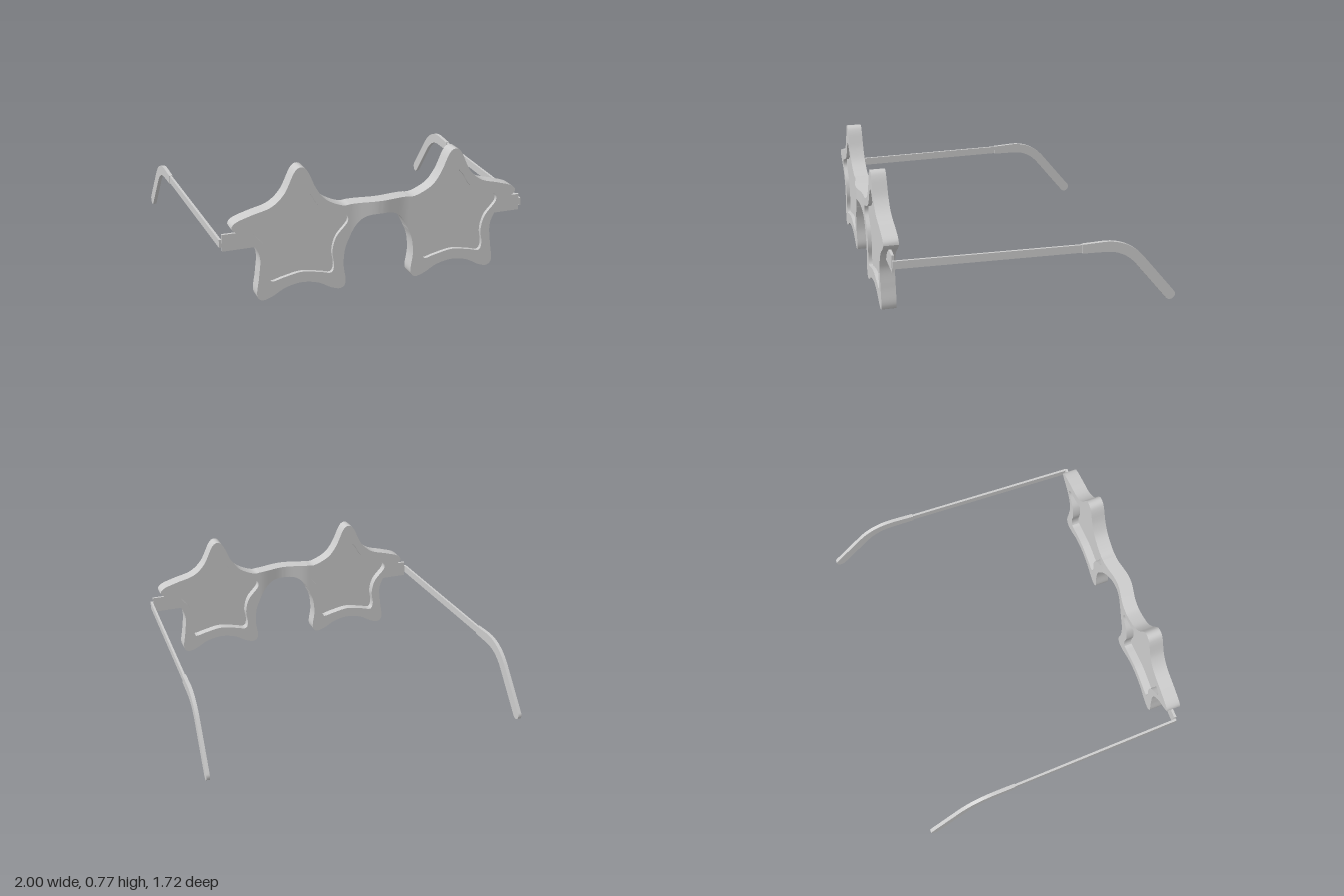
import * as THREE from 'three';
import { toCreasedNormals } from 'three/addons/utils/BufferGeometryUtils.js';

const STAR_X = 0.47;
const BRIDGE_X = 0.18; // half width of the bridge between the stars
const FRAME_Z = 0.748;
const FRAME_DEPTH = 0.088;
const material = new THREE.MeshStandardMaterial({ color: 0xcccccc });

// smooth curve through a few [x, y] points, mirrored for the right side
function smooth(points, closed, samples, side) {
  const curve = new THREE.CatmullRomCurve3(
    points.map(([x, y]) => new THREE.Vector3(side * x, y, 0)), closed, 'centripetal');
  const result = curve.getSpacedPoints(samples).map(p => new THREE.Vector2(p.x, p.y));
  return closed ? result.slice(0, -1) : result;
}

function extrude(shape, depth, z) {
  const g = new THREE.ExtrudeGeometry(shape, { depth, bevelEnabled: false });
  return g.translate(0, 0, z);
}

function addMesh(parent, name, geometry) {
  const mesh = new THREE.Mesh(toCreasedNormals(geometry, 0.6), material);
  mesh.name = name;
  parent.add(mesh);
}

// one star's outline, from the top of the bridge round to its underside
const STAR = [
  [BRIDGE_X, 0.515], [0.21, 0.512], [0.27, 0.532], [0.33, 0.568], [0.38, 0.635], [0.427, 0.738],
  [0.446, 0.764], [0.47, 0.773], [0.494, 0.764], [0.513, 0.738], [0.57, 0.625], [0.64, 0.562],
  [0.757, 0.527], [0.84, 0.50], [0.865, 0.483], [0.874, 0.462], [0.845, 0.432], [0.765, 0.37],
  [0.716, 0.275], [0.722, 0.15], [0.736, 0.045], [0.728, 0.015], [0.703, 0.001], [0.65, 0.015],
  [0.57, 0.058], [0.47, 0.077], [0.37, 0.058], [0.29, 0.015], [0.237, 0.001], [0.212, 0.015],
  [0.204, 0.045], [0.217, 0.15], [0.207, 0.25], [BRIDGE_X, 0.318],
];

// half of the lens opening, measured from the star's centre line
const HALF_LENS = [
  [0, 0.655], [0.052, 0.61], [0.105, 0.53], [0.185, 0.485], [0.268, 0.457], [0.28, 0.42],
  [0.207, 0.325], [0.185, 0.24], [0.195, 0.15], [0.18, 0.11], [0.116, 0.122], [0, 0.142],
];

function lensLoop(side) {
  const other = HALF_LENS.slice(1, -1).reverse().map(([x, y]) => [-x, y]);
  return smooth([...HALF_LENS, ...other].map(([x, y]) => [x + STAR_X, y]), true, 120, side);
}

function starGeometry(side) {
  const shape = new THREE.Shape(smooth(STAR, false, 180, side));
  shape.holes.push(new THREE.Path(lensLoop(side).reverse()));
  return extrude(shape, FRAME_DEPTH, FRAME_Z);
}

// bridge: a bar arched below, bowing forward between the stars
function bridgeGeometry() {
  const g = new THREE.BoxGeometry(2 * BRIDGE_X, 1, FRAME_DEPTH, 40, 1, 1);
  const p = g.attributes.position;
  for (let i = 0; i < p.count; i++) {
    const t = Math.abs(p.getX(i)) / BRIDGE_X;
    p.setY(i, p.getY(i) > 0 ? 0.52 - 0.005 * t * t : 0.443 - 0.125 * t ** 3.3);
    p.setZ(i, p.getZ(i) + FRAME_Z + FRAME_DEPTH / 2 + 0.0125 * (1 + Math.cos(Math.PI * t)));
  }
  return g;
}

// side profile (distance back, height) given thickness and splayed outwards
function templeGeometry(shape, thickness, side) {
  const g = extrude(shape, thickness, -thickness / 2).rotateY(Math.PI / 2);
  const p = g.attributes.position;
  for (let i = 0; i < p.count; i++) {
    p.setX(i, p.getX(i) + side * (0.93 + 0.035 * (0.79 - p.getZ(i))));
  }
  return g;
}

function polygon(points) {
  return new THREE.Shape(points.map(([x, y]) => new THREE.Vector2(x, y)));
}

// ear hook: a band along a bent path, slightly slimmer at its start, with a round end
function earHookShape() {
  const r = 0.031;
  const bend = new THREE.QuadraticBezierCurve(
    new THREE.Vector2(0.42, 0.37), new THREE.Vector2(0.545, 0.37), new THREE.Vector2(0.63, 0.272));
  const centre = [new THREE.Vector2(0.285, 0.368), ...bend.getPoints(16), new THREE.Vector2(0.828, 0.034)];
  const upper = [], lower = [];
  centre.forEach((c, i) => {
    const d = centre[Math.min(i + 1, centre.length - 1)].clone().sub(centre[Math.max(i - 1, 0)]).normalize();
    const n = new THREE.Vector2(-d.y, d.x).multiplyScalar(i === 0 ? 0.027 : r);
    upper.push(c.clone().add(n));
    lower.unshift(c.clone().sub(n));
  });
  const end = centre[centre.length - 1];
  const start = upper[upper.length - 1].clone().sub(end).angle();
  const cap = [];
  for (let i = 1; i < 10; i++) {
    const a = start - Math.PI * i / 10;
    cap.push(new THREE.Vector2(end.x + r * Math.cos(a), end.y + r * Math.sin(a)));
  }
  return new THREE.Shape([...upper, ...cap, ...lower]);
}

export function createModel() {
  const model = new THREE.Group();
  model.name = 'starGlasses';
  addMesh(model, 'bridge', bridgeGeometry());

  for (const side of [-1, 1]) {
    const label = side > 0 ? 'left' : 'right';
    addMesh(model, label + 'StarFrame', starGeometry(side));
    addMesh(model, label + 'Lens', extrude(new THREE.Shape(lensLoop(side)), 0.015, 0.798));

    // hinge tab behind the star's outer point, and its pin block
    const tab = polygon([[0.77, 0.42], [0.92, 0.42], [0.92, 0.32], [0.72, 0.32]].map(([x, y]) => [side * x, y]));
    addMesh(model, label + 'HingeTab', extrude(tab, 0.015, 0.785));
    addMesh(model, label + 'Hinge',
      new THREE.BoxGeometry(0.022, 0.046, 0.012).translate(side * 0.925, 0.368, 0.791));

    // temple arm and thicker ear hook
    const temple = new THREE.Group();
    temple.name = label + 'Temple';
    const arm = polygon([[-0.798, 0.345], [0.29, 0.345], [0.29, 0.392], [-0.798, 0.392]]);
    addMesh(temple, 'arm', templeGeometry(arm, 0.014, side));
    addMesh(temple, 'earHook', templeGeometry(earHookShape(), 0.022, side));
    model.add(temple);
  }
  return model;
}
